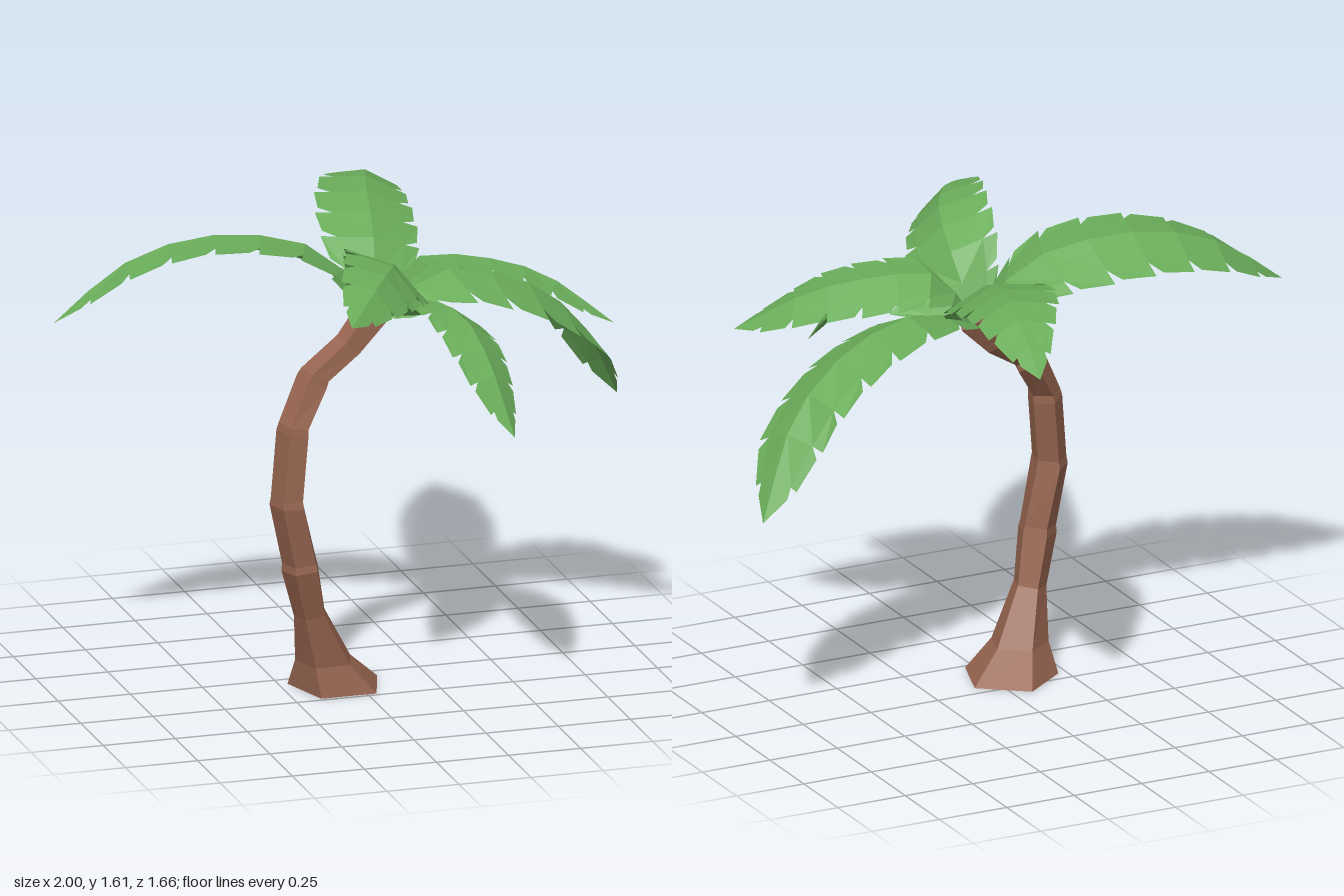
import * as THREE from 'three';

const barkMat = new THREE.MeshStandardMaterial({ color: 0x96644f, flatShading: true, side: THREE.DoubleSide });
const leafMat = new THREE.MeshStandardMaterial({ color: 0x6aad5a, flatShading: true, side: THREE.DoubleSide });

// Collects corner points into a faceted mesh
function facetMesh(name, points, material) {
  const geometry = new THREE.BufferGeometry().setFromPoints(points);
  geometry.computeVertexNormals();
  const mesh = new THREE.Mesh(geometry, material);
  mesh.name = name;
  return mesh;
}
const quad = (out, a, b, c, d) => out.push(a, b, c, a, c, d);

// Pentagonal trunk ring, optionally shifted along its axis and scaled
function trunkRing([x, y, z, rx, rz, tilt], shift, scale) {
  return Array.from({ length: 5 }, (_, k) => {
    const a = (18 + 72 * k) * Math.PI / 180;
    const u = rx * scale * Math.cos(a);
    return new THREE.Vector3(
      x + u * Math.cos(tilt) + shift * Math.sin(tilt),
      y - u * Math.sin(tilt) + shift * Math.cos(tilt),
      z - rz * scale * Math.sin(a),
    );
  });
}

// Trunk: open-bottomed rings along a bent path [x, y, z, radiusX, radiusZ, tilt]
function makeTrunk() {
  const path = [
    [-0.065, 0, 0.10, 0.163, 0.168, 0],
    [-0.115, 0.1, 0.132, 0.1, 0.102, 0],
    [-0.18, 0.28, 0.18, 0.056, 0.062, -0.15],
    [-0.222, 0.45, 0.21, 0.066, 0.074, -0.1],
    [-0.27, 0.68, 0.216, 0.06, 0.08, 0],
    [-0.245, 0.925, 0.197, 0.056, 0.074, 0.15],
    [-0.163, 1.08, 0.15, 0.057, 0.066, 0.45],
    [-0.03, 1.185, 0.125, 0.052, 0.052, 0.75],
    [0.06, 1.285, 0.115, 0.065, 0.048, 0.6],
  ];
  // A small ledge follows each of the upper growth rings
  const rings = path.flatMap((p, i) => (i > 2 && i < 7
    ? [trunkRing(p, 0, 1), trunkRing(p, 0.025, 0.93)]
    : [trunkRing(p, 0, 1)]));
  const out = [];
  const top = rings[rings.length - 1];
  for (let k = 0; k < 5; k++) {
    const n = (k + 1) % 5;
    for (let i = 0; i + 1 < rings.length; i++) {
      quad(out, rings[i][k], rings[i][n], rings[i + 1][n], rings[i + 1][k]);
    }
    if (k > 0 && k < 4) out.push(top[0], top[k], top[n]);
  }
  return facetMesh('trunk', out, barkMat);
}

// Half width along a frond, as a share of its widest point
const profile = [0.36, 0.66, 0.84, 0.95, 1, 1, 0.95, 0.86, 0.7, 0.44, 0];
function widthAt(t) {
  const f = Math.min(t, 0.9999) * (profile.length - 1);
  const i = Math.floor(f);
  return THREE.MathUtils.lerp(profile[i], profile[i + 1], f - i);
}

// Frond: a roof-shaped blade along a midrib, with forward-swept notched edges
function makeFrond({ name, path, width, taper, roll }) {
  const curve = new THREE.CatmullRomCurve3(path.map((p) => new THREE.Vector3(...p)));
  const up = new THREE.Vector3(0, 1, 0);
  const teeth = 8;
  const droop = 0.28;
  const out = [];
  for (const s of [1, -1]) {
    // Point at t along the rib and share v of the half width
    const at = (t, v) => {
      t = Math.min(t, 1);
      const p = curve.getPointAt(t);
      const tangent = curve.getTangentAt(t);
      const side = new THREE.Vector3().crossVectors(tangent, up).normalize();
      const normal = new THREE.Vector3().crossVectors(side, tangent);
      const angle = droop + s * roll;
      const w = v * width * widthAt(t) * (1 - taper * t);
      return p.addScaledVector(side, s * w * Math.cos(angle))
        .addScaledVector(normal, -w * Math.sin(angle));
    };
    for (let i = 0; i < teeth; i++) {
      const t0 = i / teeth;
      const t1 = (i + 1) / teeth;
      const rib0 = at(t0, 0);
      const rib1 = at(t1, 0);
      const in0 = at(t0 + 0.015, 0.72);
      const in1 = at(t1 + 0.015, 0.72);
      const edge0 = at(t0 + 0.05, 0.98);
      const edge1 = at(t1 + 0.025, 1.04);
      if (s > 0) {
        quad(out, rib0, in0, in1, rib1);
        quad(out, in0, edge0, edge1, in1);
      } else {
        quad(out, rib0, rib1, in1, in0);
        quad(out, in0, in1, edge1, edge0);
      }
    }
  }
  return facetMesh(name, out, leafMat);
}

// Positive roll lowers the edge on the right-hand side, looking towards the tip
const fronds = [
  { name: 'rightFrond', width: 0.222, taper: 0.28, roll: 0.26,
    path: [[0.06, 1.3, 0.09], [-0.1, 1.49, 0.02], [-0.45, 1.555, -0.045], [-0.75, 1.48, -0.065], [-1, 1.3, -0.05]] },
  { name: 'backFrond', width: 0.198, taper: 0.28, roll: 0.2,
    path: [[0.07, 1.29, 0.09], [0.12, 1.47, -0.08], [0.19, 1.565, -0.4], [0.25, 1.545, -0.6], [0.29, 1.42, -0.83]] },
  { name: 'leftFrond', width: 0.187, taper: 0, roll: 0.15,
    path: [[0.08, 1.28, 0.1], [0.33, 1.375, 0.01], [0.6, 1.31, -0.035], [0.83, 1.13, -0.095], [1, 0.82, -0.2]] },
  { name: 'leftFrontFrond', width: 0.158, taper: 0, roll: -0.27,
    path: [[0.07, 1.29, 0.1], [0.2, 1.46, 0.11], [0.4, 1.465, 0.17], [0.6, 1.415, 0.26], [0.8, 1.27, 0.41]] },
  { name: 'lowFrontFrond', width: 0.135, taper: 0, roll: -0.35,
    path: [[0.07, 1.28, 0.12], [0.2, 1.365, 0.27], [0.27, 1.35, 0.43], [0.305, 1.25, 0.6], [0.34, 1.03, 0.78]] },
  { name: 'rightFrontFrond', width: 0.19, taper: 0.28, roll: -0.58,
    path: [[0.06, 1.29, 0.11], [0.08, 1.46, 0.23], [0.03, 1.55, 0.43], [-0.08, 1.55, 0.62], [-0.24, 1.48, 0.83]] },
];

export function createModel() {
  const model = new THREE.Group();
  model.name = 'palmTree';
  model.add(makeTrunk());
  const crown = new THREE.Group();
  crown.name = 'crown';
  crown.add(...fronds.map(makeFrond));
  model.add(crown);
  return model;
}
